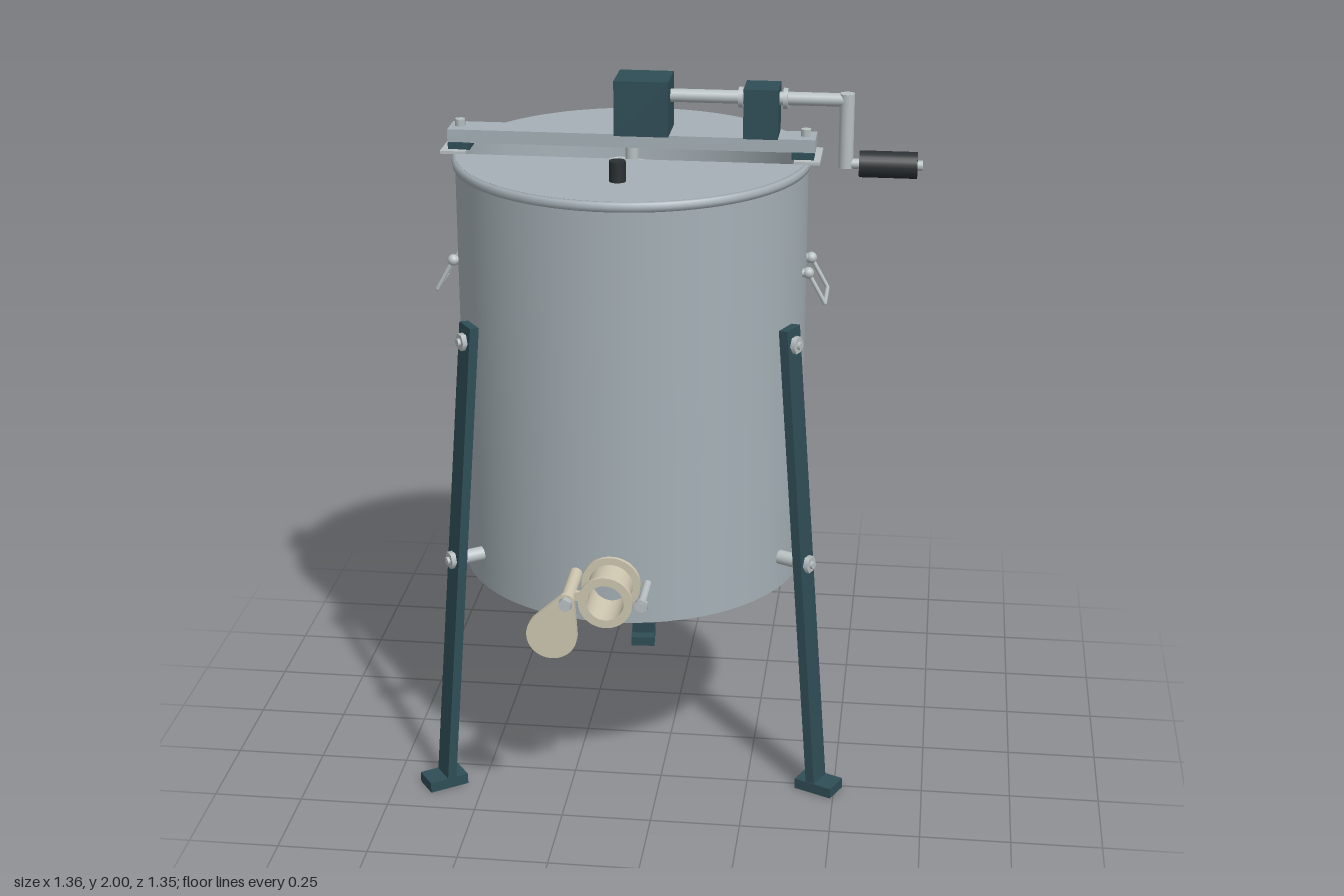
import * as THREE from 'three';

const mat = (name, color, side = THREE.FrontSide) => {
  const m = new THREE.MeshStandardMaterial({ color, side });
  m.name = name;
  return m;
};

export function createModel() {
  const steel = mat('drumSteel', 0xa5b0b6, THREE.DoubleSide);
  const bright = mat('brightMetal', 0xb8c0c2);
  const teal = mat('tealPaint', 0x2f4d56);
  const cream = mat('creamPlastic', 0xcec6b0);
  const black = mat('blackRubber', 0x2b3032);

  const model = new THREE.Group();
  model.name = 'honeyExtractor';
  // everything except the outer frame of the scene hangs on the drum axis
  const body = new THREE.Group();
  body.name = 'body';
  body.position.set(-0.106, 0, 0.004);
  model.add(body);

  const add = (parent, name, geo, material, x = 0, y = 0, z = 0) => {
    const m = new THREE.Mesh(geo, material);
    m.name = name;
    m.position.set(x, y, z);
    parent.add(m);
    return m;
  };
  const box = (p, name, material, w, h, d, x, y, z) =>
    add(p, name, new THREE.BoxGeometry(w, h, d), material, x, y, z);
  // solid cylinder between two points
  const rod = (p, name, material, a, b, r, sides = 20) => {
    const A = new THREE.Vector3(...a), B = new THREE.Vector3(...b);
    const m = add(p, name, new THREE.CylinderGeometry(r, r, A.distanceTo(B), sides), material);
    m.position.copy(A).lerp(B, 0.5);
    m.quaternion.setFromUnitVectors(new THREE.Vector3(0, 1, 0), B.sub(A).normalize());
    return m;
  };
  const lathe = (pts, seg = 72) =>
    new THREE.LatheGeometry(pts.map(([x, y]) => new THREE.Vector2(x, y)), seg);

  // drum wall, floor, lower seam and rolled rim
  add(body, 'drumWall', new THREE.CylinderGeometry(0.48, 0.48, 1.18, 80, 1, true), steel, 0, 1.195);
  add(body, 'drumFloor', new THREE.CylinderGeometry(0.48, 0.48, 0.01, 80), steel, 0, 0.61);
  add(body, 'lowerSeam', new THREE.CylinderGeometry(0.483, 0.483, 0.04, 80, 1, true), steel, 0, 0.625);
  add(body, 'rim', lathe([[0.478, 1.762], [0.486, 1.764], [0.489, 1.775], [0.486, 1.787], [0.476, 1.79], [0.472, 1.78]], 80), steel);

  // two lid halves with knobs, leaving a slot under the crossbar
  for (const s of [1, -1]) {
    const lidShape = new THREE.Shape();
    const a = Math.asin(0.075 / 0.478);
    lidShape.absarc(0, 0, 0.478, a, Math.PI - a, false);
    lidShape.closePath();
    const lid = add(body, 'lidHalf', new THREE.ExtrudeGeometry(lidShape, { depth: 0.01, bevelEnabled: false, curveSegments: 48 }), steel, 0, s > 0 ? 1.79 : 1.78);
    lid.rotation.x = s * Math.PI / 2;
    rod(body, 'lidKnob', black, [0, 1.78, s * 0.29], [0, 1.845, s * 0.29], 0.022);
  }

  // inner basket seen through the slot
  const basket = new THREE.Group();
  basket.name = 'basket';
  body.add(basket);
  rod(basket, 'basketShaft', bright, [0, 0.62, 0], [0, 1.81, 0], 0.018);
  for (const y of [0.72, 1.66]) {
    for (let i = 0; i < 6; i++) {
      const p = k => [0.4 * Math.cos(k * Math.PI / 3 + 0.3), y, 0.4 * Math.sin(k * Math.PI / 3 + 0.3)];
      rod(basket, 'basketRail', bright, p(i), p(i + 1), 0.007, 8);
      rod(basket, 'basketSpoke', bright, [0, y, 0], p(i), 0.007, 8);
    }
  }

  // crossbar and its end clamps
  box(body, 'crossbar', steel, 1.0, 0.036, 0.09, 0, 1.831, 0);
  for (const s of [1, -1]) {
    box(body, 'clampBase', bright, 0.07, 0.008, 0.155, s * 0.48, 1.793, 0);
    box(body, 'clampPad', teal, 0.06, 0.018, 0.112, s * 0.467, 1.805, 0);
    rod(body, 'clampBolt', bright, [s * 0.472, 1.845, 0], [s * 0.472, 1.868, 0], 0.015, 6);
  }

  // hand drive: gearbox, bearing, shaft, crank and grip
  const drive = new THREE.Group();
  drive.name = 'drive';
  body.add(drive);
  const Y = 1.95;
  box(drive, 'gearbox', teal, 0.147, 0.15, 0.134, 0.033, 1.925, 0);
  box(drive, 'bearingBlock', teal, 0.093, 0.135, 0.106, 0.353, 1.916, 0);
  rod(drive, 'driveShaft', bright, [0.1, Y, 0], [0.58, Y, 0], 0.018);
  for (const x of [0.296, 0.416]) rod(drive, 'collar', bright, [x - 0.006, Y, 0], [x + 0.006, Y, 0], 0.028);
  rod(drive, 'crankArm', bright, [0.58, 1.968, 0], [0.58, 1.765, 0], 0.02);
  rod(drive, 'gripPin', bright, [0.575, 1.776, 0], [0.787, 1.776, 0], 0.014);
  rod(drive, 'grip', black, [0.617, 1.776, 0], [0.773, 1.776, 0], 0.036, 24);

  // carrying handles
  for (const s of [1, -1]) {
    const top = z => [s * 0.49, 1.485, z], low = z => [s * 0.537, 1.4, z];
    for (const z of [-0.068, 0.068]) {
      add(body, 'handleKnob', new THREE.SphereGeometry(0.016, 16, 12), bright, ...top(z));
      rod(body, 'handleStud', bright, [s * 0.47, 1.485, z], top(z), 0.012, 12);
      rod(body, 'handleSide', bright, top(z), low(z), 0.006, 10);
      add(body, 'handleCorner', new THREE.SphereGeometry(0.006, 10, 8), bright, ...low(z));
    }
    rod(body, 'handleGrip', bright, low(-0.068), low(0.068), 0.006, 10);
  }

  // three splayed legs with feet, spacers and hex bolts
  for (let i = 0; i < 3; i++) {
    const leg = new THREE.Group();
    leg.name = 'leg';
    leg.rotation.y = -THREE.MathUtils.degToRad(25 + i * 120);
    body.add(leg);
    const dx = 0.497 - 0.612, dy = 1.36;
    const bar = box(leg, 'legBar', teal, 0.026, Math.hypot(dx, dy), 0.07, 0.5545, 0.695, 0);
    bar.rotation.z = Math.atan2(-dx, dy);
    box(leg, 'foot', teal, 0.115, 0.03, 0.074, 0.62, 0.015, 0);
    rod(leg, 'spacer', bright, [0.475, 0.695, 0], [0.545, 0.695, 0], 0.02);
    for (const [x, y] of [[0.5, 1.33], [0.554, 0.695]]) {
      rod(leg, 'boltHead', bright, [x, y, 0], [x + 0.027, y, 0], 0.025, 6);
      rod(leg, 'boltTip', bright, [x, y, 0], [x + 0.035, y, 0], 0.011, 12);
    }
  }

  // honey gate: hollow spout, flanges, swinging flap
  const gate = new THREE.Group();
  gate.name = 'honeyGate';
  gate.position.set(0, 0.72, 0);
  body.add(gate);
  const ring = (name, R, r, z0, z1) => {
    const s = new THREE.Shape().absarc(0, 0, R, 0, Math.PI * 2, false);
    s.holes.push(new THREE.Path().absarc(0, 0, r, 0, Math.PI * 2, true));
    add(gate, name, new THREE.ExtrudeGeometry(s, { depth: z1 - z0, bevelEnabled: false, curveSegments: 28 }), cream, 0, 0, z0);
  };
  ring('wallFlange', 0.08, 0.05, 0.47, 0.49);
  ring('spout', 0.06, 0.05, 0.48, 0.595);
  ring('spoutFlange', 0.073, 0.05, 0.588, 0.602);
  rod(gate, 'lockStud', bright, [0.097, 0, 0.465], [0.097, 0, 0.612], 0.011);
  rod(gate, 'lockNut', bright, [0.097, 0, 0.595], [0.097, 0, 0.61], 0.019, 6);
  rod(gate, 'hingePost', cream, [-0.097, 0.02, 0.46], [-0.097, 0.02, 0.635], 0.018);
  rod(gate, 'hingeBolt', bright, [-0.097, 0.02, 0.645], [-0.097, 0.02, 0.67], 0.018, 6);
  box(gate, 'hingeWeb', cream, 0.06, 0.025, 0.014, -0.075, 0.015, 0.594);
  // flap outline: small circle at the hinge joined to a large disc
  const flap = new THREE.Shape();
  const cx = -0.04, cy = -0.098, R = 0.068, r = 0.022;
  const axis = Math.atan2(-cy, -cx), t = Math.acos((R - r) / Math.hypot(cx, cy));
  flap.absarc(cx, cy, R, axis + t, axis - t + Math.PI * 2, false);
  flap.absarc(0, 0, r, axis - t, axis + t, false);
  add(gate, 'flap', new THREE.ExtrudeGeometry(flap, { depth: 0.018, bevelEnabled: false, curveSegments: 28 }), cream, -0.097, 0.02, 0.632);

  return model;
}
